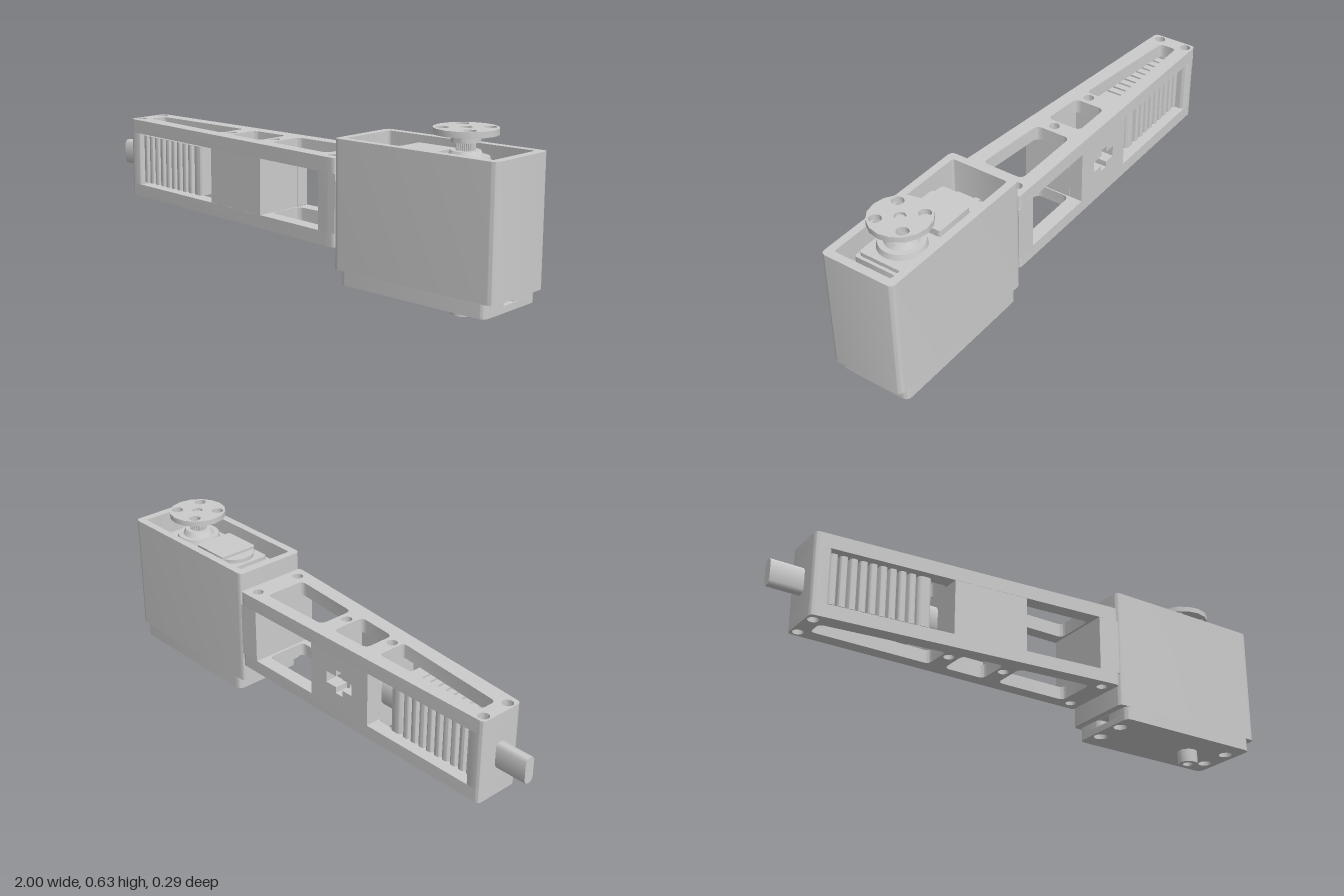
import * as THREE from 'three';
import { toCreasedNormals } from 'three/addons/utils/BufferGeometryUtils.js';

const material = new THREE.MeshStandardMaterial({ color: 0xcccccc });

// Closed outline through the points with rounded corners
function outline(pts, r, Type = THREE.Path) {
  const path = new Type();
  const p = pts.map(([x, y]) => new THREE.Vector2(x, y));
  p.forEach((c, i) => {
    const a = p[(i + p.length - 1) % p.length], b = p[(i + 1) % p.length];
    const s = c.clone().add(a.clone().sub(c).setLength(r));
    const e = c.clone().add(b.clone().sub(c).setLength(r));
    if (i === 0) path.moveTo(s.x, s.y); else path.lineTo(s.x, s.y);
    if (r > 0.002) path.quadraticCurveTo(c.x, c.y, e.x, e.y);
    else path.lineTo(e.x, e.y);
  });
  path.closePath();
  return path;
}
const rect = (x0, x1, y0, y1) => [[x0, y0], [x1, y0], [x1, y1], [x0, y1]];
// Plan points (x, z) become counter-clockwise shape points (x, -z)
const flip = (pts) => pts.map(([x, z]) => [x, -z]).reverse();
const circle = (x, z, r, Type = THREE.Path) => new Type().absarc(x, -z, r, 0, Math.PI * 2, false);

function extrude(shape, holes, depth) {
  shape.holes.push(...holes);
  const g = new THREE.ExtrudeGeometry(shape, { depth, bevelEnabled: false, curveSegments: 8 });
  return toCreasedNormals(g, 0.6);
}

export function createModel() {
  const model = new THREE.Group();
  const add = (name, geometry) => {
    const mesh = new THREE.Mesh(geometry, material);
    mesh.name = name;
    model.add(mesh);
  };
  // Horizontal slab from a plan shape between two heights
  const slab = (name, shape, holes, y0, y1) => {
    add(name, extrude(shape, holes, y1 - y0).rotateX(-Math.PI / 2).translate(0, y0, 0));
  };
  const plan = (pts, r = 0.001) => outline(flip(pts), r, THREE.Shape);
  const slot = (pts, r = 0.025) => outline(flip(pts), r);
  const box = (name, x0, x1, y0, y1, z0, z1) => {
    add(name, new THREE.BoxGeometry(x1 - x0, y1 - y0, z1 - z0)
      .translate((x0 + x1) / 2, (y0 + y1) / 2, (z0 + z1) / 2));
  };
  const rod = (name, x, z, r0, r1, y0, y1, n = 32) => {
    add(name, toCreasedNormals(new THREE.CylinderGeometry(r1, r0, y1 - y0, n), 0.6)
      .translate(x, (y0 + y1) / 2, z));
  };

  // Tapered arm: back face is straight, front face slopes
  const back = -0.144, low = 0.225, high = 0.436;
  const front = (x) => 0.035 + (x + 0.875) * 0.09;
  const armPlan = [[-0.875, back], [0.335, back], [0.335, 0.142], [0.3, 0.142], [-0.875, front(-0.875)]];
  const screwSpots = [[0.285, -0.1], [0.285, 0.095], [-0.32, 0], [-0.09, 0]];
  const endHoles = () => [[-0.848, -0.115], [-0.848, 0]].map(([x, z]) => circle(x, z, 0.02));
  for (const [name, y0, y1] of [['armBottomPlate', 0.175, low], ['armTopPlate', high, 0.49]]) {
    slab(name, plan(armPlan, 0.018), [
      slot([[-0.815, -0.09], [-0.35, -0.09], [-0.35, 0.027], [-0.815, -0.022]], 0.02),
      slot([[-0.285, -0.09], [-0.12, -0.09], [-0.12, 0.048], [-0.285, 0.034]]),
      slot([[-0.055, -0.09], [0.24, -0.09], [0.24, 0.078], [-0.055, 0.052]]),
      ...screwSpots.map(([x, z]) => circle(x, z, 0.02)),
      ...endHoles(),
    ], y0, y1);
  }

  // Posts between the plates leave two windows
  slab('armEndPost', plan([[-0.875, back], [-0.812, back], [-0.812, front(-0.812)], [-0.875, front(-0.875)]], 0.018),
    endHoles(), low, high);
  slab('armRootPost', plan([[0.25, back], [0.335, back], [0.335, 0.142], [0.3, 0.142], [0.25, front(0.25)]]), [], low, high);
  slab('armMiddlePost', plan([
    [-0.35, -0.09], [-0.285, -0.09], [-0.285, 0.034], [-0.12, 0.048], [-0.12, -0.09],
    [-0.06, -0.09], [-0.06, front(-0.06)], [-0.35, front(-0.35)],
  ]), [], low, high);
  // Back wall of the middle post with a cross-shaped cut-out
  const cross = [[-0.27, 0.31], [-0.225, 0.31], [-0.225, 0.285], [-0.19, 0.285], [-0.19, 0.31], [-0.14, 0.31],
    [-0.14, 0.355], [-0.19, 0.355], [-0.19, 0.38], [-0.225, 0.38], [-0.225, 0.355], [-0.27, 0.355]];
  add('armMiddleBackWall', extrude(outline(rect(-0.35, -0.06, low, high), 0.001, THREE.Shape),
    [outline(cross, 0.001)], 0.054).translate(0, 0, back));
  box('middleWeb', -0.285, -0.12, 0.24, 0.275, -0.09, 0.05);
  box('rodStop', -0.2, -0.12, 0.275, 0.36, -0.085, 0.04);

  // Chamfered drive rod, its section given as (-z, y)
  const rodSection = [[0.044, 0.283], [0.066, 0.283], [0.075, 0.297], [0.075, 0.366],
    [0.066, 0.38], [0.044, 0.38], [0.035, 0.366], [0.035, 0.297]];
  add('driveRod', extrude(outline(rodSection, 0.001, THREE.Shape), [], 0.76)
    .rotateY(Math.PI / 2).translate(-1, 0, 0));

  // Ribbed grip that follows the taper of the arm
  const gripPart = (name, x0, x1, r) => slab(name, plan([
    [x0, -0.112], [x1, -0.112], [x1, front(x1) - 0.016], [x0, front(x0) - 0.016],
  ], r), [], 0.235, 0.428);
  for (let i = 0; i < 9; i++) {
    const x = -0.81 + i * 0.0365;
    gripPart('gripRib', x, x + 0.027, 0.01);
  }
  gripPart('gripBlock', -0.482, -0.43, 0.02);

  // Servo housing, open at the top
  slab('servoHousing', plan(rect(0.33, 0.997, -0.145, 0.145), 0.022),
    [slot(rect(0.36, 0.965, -0.115, 0.115), 0.01)], 0.1, 0.56);

  // Bottom cover with rails, screw recesses and a pivot tube
  const servoScrews = [0.395, 0.92].flatMap((x) => [[x, -0.06], [x, 0.06]]);
  slab('bottomCover', plan(rect(0.36, 0.968, -0.145, 0.145), 0.025),
    servoScrews.map(([x, z]) => circle(x, z, 0.026)), 0.05, 0.074);
  for (const z of [-0.145, 0.024]) {
    slab('coverRail', plan(rect(0.36, 0.968, z, z + 0.121), 0.025), [], 0.074, 0.1);
  }
  slab('pivotTube', circle(0.775, 0, 0.038, THREE.Shape), [circle(0.775, 0, 0.02)], 0, 0.05);

  // Servo body, mounting flange and raised gear cover
  slab('servoBody', plan(rect(0.44, 0.895, -0.1, 0.1), 0.01), [], 0.1, 0.5);
  slab('servoFlange', plan(rect(0.362, 0.963, -0.1, 0.1), 0.008),
    servoScrews.map(([x, z]) => circle(x, z, 0.026)), 0.4, 0.43);
  slab('flangeSeat', plan(rect(0.362, 0.963, -0.113, 0.113)), [], 0.1, 0.395);
  box('flangeRib', 0.895, 0.955, 0.43, 0.45, -0.01, 0.01);
  box('flangeRib', 0.375, 0.44, 0.43, 0.45, -0.01, 0.01);
  slab('servoTopCover', plan(rect(0.462, 0.883, -0.09, 0.09), 0.015), [], 0.5, 0.515);
  slab('gearCover', plan(rect(0.52, 0.68, -0.08, 0.08), 0.01), [], 0.515, 0.54);
  rod('gearCoverLobe', 0.55, 0, 0.075, 0.075, 0.515, 0.53);
  rod('outputBoss', 0.775, 0, 0.085, 0.08, 0.515, 0.535);
  rod('outputCollar', 0.775, 0, 0.06, 0.05, 0.535, 0.555);

  // Toothed output shaft
  const teeth = 30;
  const star = Array.from({ length: teeth * 2 }, (_, i) => {
    const a = (i / teeth) * Math.PI, r = i % 2 ? 0.03 : 0.034;
    return [0.775 + r * Math.cos(a), r * Math.sin(a)];
  });
  slab('outputSpline', plan(star, 0.001), [], 0.55, 0.583);

  // Round horn with four holes and a centre screw
  rod('hornHub', 0.775, 0, 0.05, 0.05, 0.583, 0.61);
  const hornHoles = [-1, 1].flatMap((sx) => [-1, 1].map((sz) => circle(0.775 + sx * 0.056, sz * 0.056, 0.022)));
  slab('hornDisc', circle(0.775, 0, 0.11, THREE.Shape), [...hornHoles, circle(0.775, 0, 0.02)], 0.609, 0.63);
  rod('hornScrew', 0.775, 0, 0.017, 0.017, 0.6, 0.622, 16);

  return model;
}
